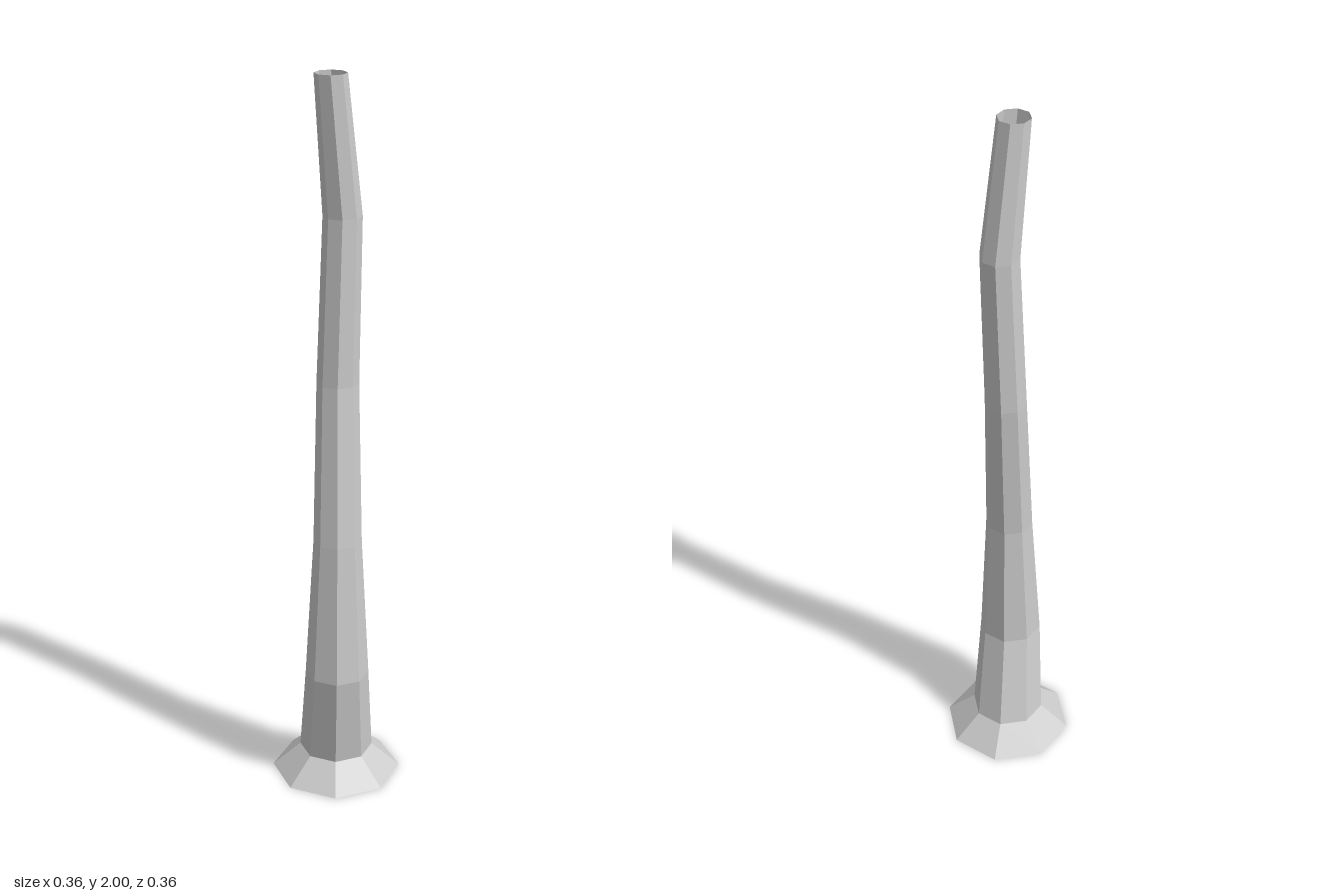
import * as THREE from 'three';

// Cross-sections from the ground up: height, radius, centre x, centre z
const RINGS = [
  [0, 0.182, 0, 0],
  [0.07, 0.103, 0, 0],
  [0.34, 0.088, -0.037, 0.042],
  [0.74, 0.066, -0.028, 0.035],
  [1.18, 0.057, 0.004, 0.003],
  [1.63, 0.052, 0.022, 0.002],
  [2, 0.043, -0.018, 0],
];

// Open eight-sided tube, each ring shifted to follow the bends
function bentTube(rings, material) {
  const profile = rings.map(([y, r]) => new THREE.Vector2(r, y));
  const geometry = new THREE.LatheGeometry(profile, 8);
  const pos = geometry.attributes.position;
  for (let i = 0; i < pos.count; i++) {
    const [, , cx, cz] = rings[i % rings.length];
    pos.setX(i, pos.getX(i) + cx);
    pos.setZ(i, pos.getZ(i) + cz);
  }
  const flat = geometry.toNonIndexed();
  flat.computeVertexNormals();
  return new THREE.Mesh(flat, material);
}

export function createModel() {
  const group = new THREE.Group();
  group.name = 'bentTrunk';
  const material = new THREE.MeshStandardMaterial({
    color: 0xcccccc, flatShading: true, side: THREE.DoubleSide,
  });

  // Flared foot
  const foot = bentTube(RINGS.slice(0, 2), material);
  foot.name = 'flaredFoot';

  // Tapering, crooked hollow stem
  const stem = bentTube(RINGS.slice(1), material);
  stem.name = 'stem';

  group.add(foot, stem);
  return group;
}
